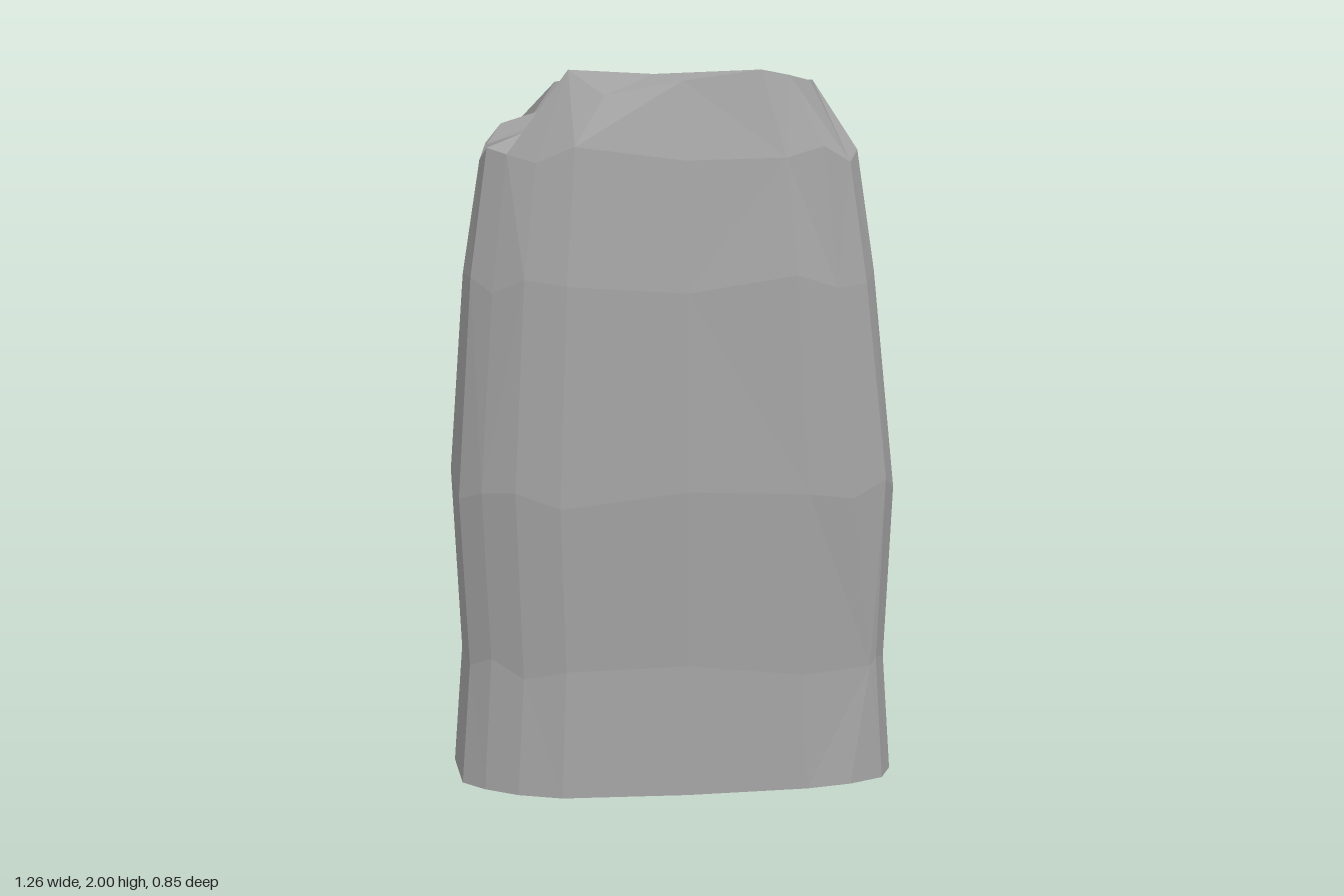
import * as THREE from 'three';

// Plan outline [x, z], from +x round through +z
const OUTLINE = [
  [.63, 0], [.61, .23], [.57, .32], [.47, .37], [.34, .40], [0, .42], [-.35, .41], [-.47, .365], [-.56, .30], [-.62, .23],
  [-.635, 0], [-.605, -.23], [-.57, -.325], [-.47, -.375], [-.35, -.41], [0, -.425], [.34, -.40], [.47, -.375], [.545, -.31], [.59, -.23],
];

// Stone courses: height, right scale (+x), left scale (-x), depth scale
const ROWS = [
  [0, 1, 1, 1],
  [.35, .965, .96, .965],
  [.84, 1, 1, 1],
  [1.42, .90, .935, .935],
  [1.77, .825, .855, .815],
];

// Broken upper rim [x, y, z], one point per outline column
const RIM = [
  [.41, 1.96, 0], [.39, 1.97, .1], [.36, 1.97, .23], [.30, 1.985, .24], [.22, 2, .26],
  [0, 1.97, .27], [-.21, 1.93, .25], [-.31, 2, .25], [-.34, 1.88, .19], [-.42, 1.83, .15],
  [-.52, 1.79, 0], [-.47, 1.84, -.23], [-.39, 1.84, -.27], [-.31, 1.96, -.25], [-.23, 1.93, -.265],
  [0, 1.94, -.265], [.22, 1.985, -.265], [.37, 1.76, -.225], [.39, 1.97, -.15], [.405, 1.965, -.08],
];

export function createModel() {
  const group = new THREE.Group();
  const stone = new THREE.MeshStandardMaterial({ color: 0xa3a3a3, flatShading: true });
  stone.name = 'grey stone';

  const n = OUTLINE.length;
  const rings = ROWS.map(([y, right, left, depth], r) => OUTLINE.map(([x, z], i) => {
    // Slight unevenness in the height of the middle courses
    const dy = r > 0 ? .025 * Math.sin(i * 2.3 + r * 1.7) : 0;
    return [x * (x > 0 ? right : left), y + dy, z * depth];
  }));
  // Chipped corners low on the left side
  rings[1][3] = [.53, .33, .325];
  rings[1][17] = [.51, .33, -.325];
  rings.push(RIM);

  const positions = [];
  const tri = (...points) => points.forEach((p) => positions.push(...p));

  // Walls
  for (let r = 0; r < rings.length - 1; r++) {
    for (let i = 0; i < n; i++) {
      const j = (i + 1) % n;
      const a = rings[r][i], b = rings[r][j], c = rings[r + 1][i], d = rings[r + 1][j];
      if ((i + r) % 2) { tri(a, c, b); tri(b, c, d); }
      else { tri(a, c, d); tri(a, d, b); }
    }
  }
  // Top fan and flat base
  const peak = [-.05, 1.985, .02], base = [0, 0, 0];
  for (let i = 0; i < n; i++) {
    const j = (i + 1) % n;
    tri(peak, RIM[j], RIM[i]);
    tri(base, rings[0][i], rings[0][j]);
  }

  const geometry = new THREE.BufferGeometry();
  geometry.setAttribute('position', new THREE.Float32BufferAttribute(positions, 3));
  geometry.computeVertexNormals();
  const mesh = new THREE.Mesh(geometry, stone);
  mesh.name = 'standingStone';
  group.add(mesh);
  return group;
}
